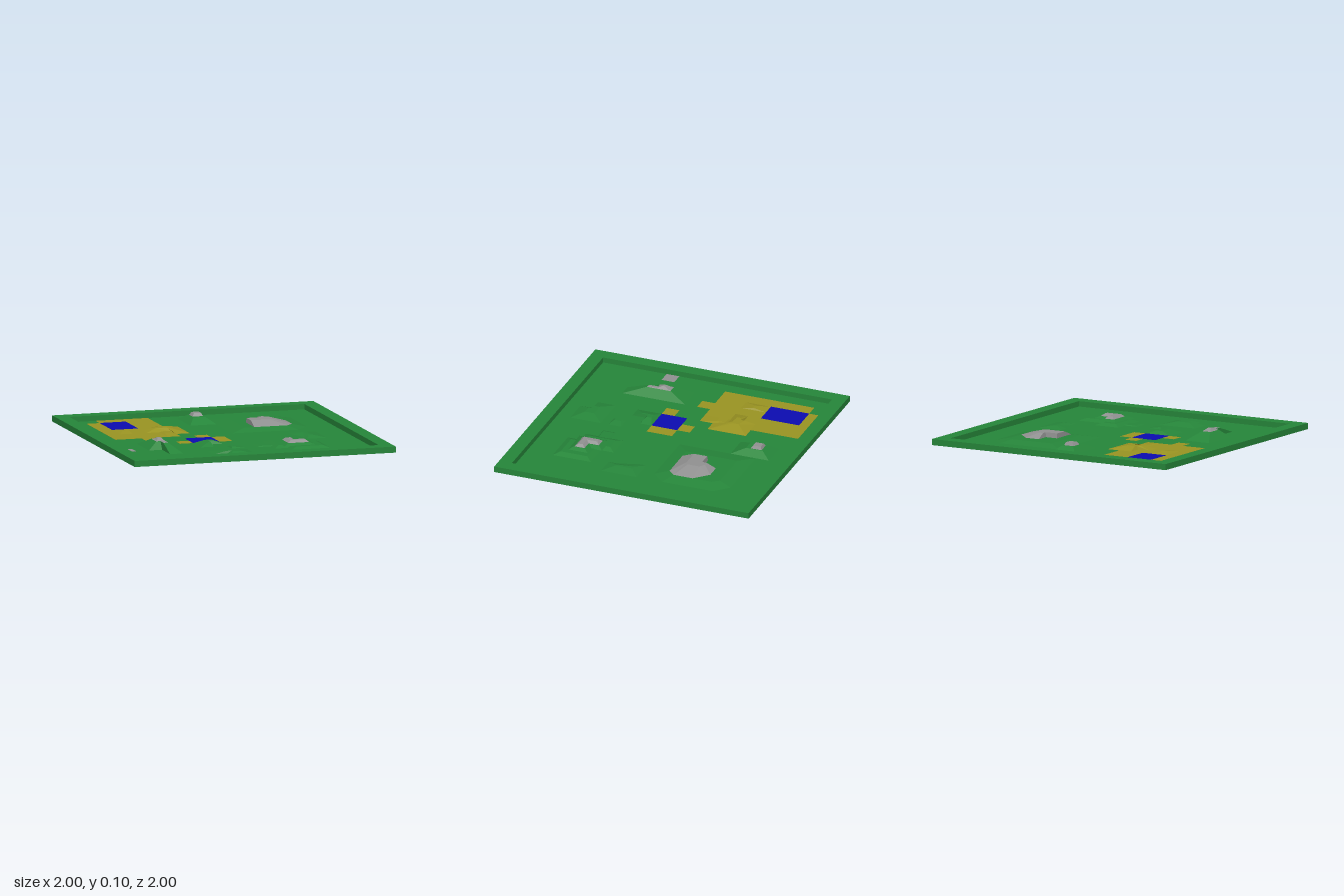
import * as THREE from 'three';

const mat = (name, color) => {
  const m = new THREE.MeshStandardMaterial({ color });
  m.name = name;
  return m;
};

export function createModel() {
  const group = new THREE.Group();
  const grass = mat('grass', 0x26863a);
  const sand = mat('sand', 0x9a9422);
  const rock = mat('rock', 0x919191);
  const water = mat('water', 0x0c0cb2);
  const BASE = 0.02, FLOOR = 0.025;

  const add = (name, geo, material) => {
    const mesh = new THREE.Mesh(geo, material);
    mesh.name = name;
    group.add(mesh);
    return mesh;
  };

  // Axis-aligned block given by its limits
  const block = (name, material, x0, x1, z0, z1, y0, y1) => {
    const g = new THREE.BoxGeometry(x1 - x0, y1 - y0, z1 - z0);
    g.translate((x0 + x1) / 2, (y0 + y1) / 2, (z0 + z1) / 2);
    return add(name, g, material);
  };

  const rect = (x0, x1, z0, z1) => [[x0, z0], [x1, z0], [x1, z1], [x0, z1]];

  // Faceted hill (rising rings) or pit (falling rings), closed by the last ring
  const loft = (name, material, ...rings) => {
    const flat = (r) => r.map(([x, z]) => new THREE.Vector2(x, z));
    const reversed = THREE.ShapeUtils.area(flat(rings[0][1])) < 0;
    const levels = rings.map(([y, r]) => ({ y, pts: reversed ? [...r].reverse() : r }));
    const rising = levels[levels.length - 1].y > levels[0].y;
    const pos = [];
    const tri = (a, b, c) => pos.push(...a, ...(rising ? c : b), ...(rising ? b : c));
    const at = (l, i) => {
      const p = l.pts[i % l.pts.length];
      return [p[0], l.y, p[1]];
    };
    for (let k = 0; k + 1 < levels.length; k++) {
      const lo = levels[k], hi = levels[k + 1];
      for (let i = 0; i < lo.pts.length; i++) {
        tri(at(lo, i), at(lo, i + 1), at(hi, i + 1));
        tri(at(lo, i), at(hi, i + 1), at(hi, i));
      }
    }
    const top = levels[levels.length - 1];
    for (const [a, b, c] of THREE.ShapeUtils.triangulateShape(flat(top.pts), [])) {
      tri(at(top, a), at(top, b), at(top, c));
    }
    const g = new THREE.BufferGeometry();
    g.setAttribute('position', new THREE.Float32BufferAttribute(pos, 3));
    g.computeVertexNormals();
    return add(name, g, material);
  };

  // Ground and raised rim
  block('ground', grass, -0.9, 0.9, -0.9, 0.9, BASE, FLOOR);
  for (const s of [-1, 1]) {
    const [a, b] = s < 0 ? [-1, -0.9] : [0.9, 1];
    block('rimLong', grass, -1, 1, a, b, BASE, 0.065);
    block('rimSide', grass, a, b, -0.9, 0.9, BASE, 0.065);
  }

  // Sand patch, showing on both faces of the ground
  for (const r of [[-0.7, -0.3, -0.9, -0.8], [-0.8, -0.3, -0.8, -0.5], [-0.8, -0.2, -0.5, -0.2],
    [-0.8, -0.3, -0.2, -0.1], [-0.6, -0.5, -0.1, 0]]) {
    block('sandPatch', sand, ...r, BASE - 0.0006, FLOOR + 0.0006);
  }
  // Sand beside the small pond
  for (const r of [[-0.2, -0.1, -0.1, 0], [-0.1, 0, 0, 0.2], [-0.4, -0.3, 0.1, 0.2]]) {
    block('pondShore', sand, ...r, FLOOR - 0.001, FLOOR + 0.0006);
  }

  // Ponds with their sunken beds
  block('largePond', water, -0.7, -0.5, -0.8, -0.5, FLOOR - 0.001, FLOOR + 0.0014);
  block('smallPond', water, -0.3, -0.1, 0, 0.2, FLOOR - 0.001, FLOOR + 0.0014);
  loft('largePondBed', sand, [BASE - 0.0006, rect(-0.7, -0.5, -0.8, -0.5)], [0, rect(-0.66, -0.53, -0.75, -0.54)]);
  loft('smallPondBed', sand, [BASE, rect(-0.3, -0.1, 0, 0.2)], [0.007, rect(-0.27, -0.13, 0.03, 0.17)]);
  loft('grassHollow', grass, [BASE, rect(-0.2, 0, 0.4, 0.6)], [0.014, rect(-0.14, -0.06, 0.44, 0.56)]);

  // Back hill with rocky peak
  loft('backHill', grass, [FLOOR, rect(-0.1, 0.1, -0.8, -0.5)], [0.066, rect(-0.045, 0.045, -0.73, -0.6)]);
  loft('backHillPeak', rock, [0.066, rect(-0.04, 0.04, -0.72, -0.635)], [0.088, rect(-0.025, 0.03, -0.71, -0.65)]);

  // Left hill with rocky ridge
  loft('leftHill', grass,
    [FLOOR, [[-0.7, 0.1], [-0.5, 0.1], [-0.5, 0.59], [-0.6, 0.59], [-0.6, 0.4], [-0.7, 0.4]]],
    [0.08, [[-0.63, 0.23], [-0.56, 0.23], [-0.56, 0.42], [-0.597, 0.42], [-0.597, 0.35], [-0.63, 0.35]]]);
  loft('leftHillRidge', rock,
    [0.08, [[-0.63, 0.235], [-0.56, 0.235], [-0.56, 0.42], [-0.595, 0.42], [-0.595, 0.345], [-0.63, 0.345]]],
    [0.084, [[-0.62, 0.24], [-0.565, 0.24], [-0.565, 0.41], [-0.59, 0.41], [-0.59, 0.34], [-0.62, 0.34]]]);
  loft('leftHillPeak', rock, [0.084, rect(-0.62, -0.565, 0.25, 0.34)], [0.1, rect(-0.605, -0.58, 0.285, 0.305)]);

  // Front hill in two stages with an L-shaped rock on top
  const stepped = (x, z, d) => [[x + d, z + d], [x + 0.2 - d, z + d], [x + 0.2 - d, z + 0.1 + d], [x + 0.4 - d, z + 0.1 + d],
    [x + 0.4 - d, z + 0.4 - d], [x + 0.1 + d, z + 0.4 - d], [x + 0.1 + d, z + 0.3 - d], [x + d, z + 0.3 - d]];
  loft('frontHill', grass, [FLOOR, stepped(0.2, 0.3, 0)], [0.042, stepped(0.2, 0.3, 0.045)]);
  const ell = (d) => [[0.31 + d, 0.42 + d], [0.39 - d, 0.42 + d], [0.39 - d, 0.5 + d], [0.47 - d, 0.5 + d],
    [0.47 - d, 0.58 - d], [0.31 + d, 0.58 - d]];
  loft('frontHillCollar', grass, [0.04, ell(-0.04)], [0.056, ell(-0.005)]);
  loft('frontHillRock', rock, [0.055, ell(0)], [0.074, ell(0.022)]);
  loft('frontHillSpur', grass, [FLOOR, rect(0.1, 0.24, 0.4, 0.5)], [0.031, rect(0.12, 0.24, 0.41, 0.49)]);

  // Broad plateau with a rock outcrop
  loft('plateau', grass,
    [FLOOR, [[0.1, -0.7], [0.6, -0.7], [0.7, -0.6], [0.7, -0.2], [0.6, -0.1], [0.1, -0.1]]],
    [0.044, [[0.22, -0.6], [0.56, -0.6], [0.6, -0.55], [0.6, -0.25], [0.55, -0.2], [0.22, -0.2]]]);
  loft('plateauRock', rock,
    [0.044, [[0.39, -0.5], [0.5, -0.5], [0.6, -0.4], [0.6, -0.25], [0.55, -0.2], [0.295, -0.2], [0.295, -0.4], [0.39, -0.4]]],
    [0.079, [[0.395, -0.43], [0.43, -0.43], [0.47, -0.4], [0.47, -0.31], [0.44, -0.29], [0.297, -0.29], [0.297, -0.395], [0.395, -0.395]]]);

  // Low grass mounds
  loft('rightMound', grass,
    [FLOOR, [[0.5, 0], [0.7, 0], [0.7, 0.28], [0.55, 0.28], [0.55, 0.2], [0.5, 0.07]]],
    [0.04, [[0.58, 0.07], [0.61, 0.07], [0.61, 0.2], [0.6, 0.2], [0.59, 0.18], [0.58, 0.09]]]);
  loft('pondMound', grass,
    [FLOOR, [[-0.3, 0.2], [-0.1, 0.2], [-0.1, 0.29], [-0.2, 0.29], [-0.2, 0.39], [-0.3, 0.39]]],
    [0.05, [[-0.22, 0.23], [-0.17, 0.23], [-0.17, 0.27], [-0.205, 0.27], [-0.205, 0.32], [-0.22, 0.32]]]);
  loft('middleMound', grass,
    [FLOOR, [[-0.1, 0.4], [0, 0.4], [0, 0.5], [-0.1, 0.5]]], [0.034, rect(-0.09, -0.07, 0.43, 0.48)]);
  loft('frontMound', grass,
    [FLOOR, [[-0.3, 0.56], [0, 0.56], [0, 0.8], [-0.2, 0.8], [-0.2, 0.7], [-0.3, 0.7]]],
    [0.045, [[-0.2, 0.65], [-0.09, 0.65], [-0.09, 0.72], [-0.16, 0.72], [-0.16, 0.69], [-0.2, 0.69]]]);

  // Sand dunes
  loft('mainDune', sand,
    [FLOOR, [[-0.4, -0.5], [-0.2, -0.5], [-0.2, -0.2], [-0.3, -0.2], [-0.3, -0.3], [-0.5, -0.3], [-0.5, -0.4], [-0.4, -0.4]]],
    [0.05, [[-0.38, -0.42], [-0.31, -0.4], [-0.31, -0.36], [-0.32, -0.34], [-0.33, -0.34], [-0.41, -0.35], [-0.41, -0.38], [-0.38, -0.39]]]);
  loft('smallDune', sand, [FLOOR, rect(-0.7, -0.6, -0.5, -0.3)], [0.038, rect(-0.652, -0.61, -0.41, -0.39)]);
  loft('duneTail', sand, [FLOOR, rect(-0.4, -0.3, -0.3, -0.1)], [0.034, rect(-0.385, -0.33, -0.29, -0.22)]);

  // Flat stone
  block('flatStone', rock, -0.9, -0.8, 0.3, 0.4, FLOOR - 0.001, FLOOR + 0.0008);

  return group;
}
